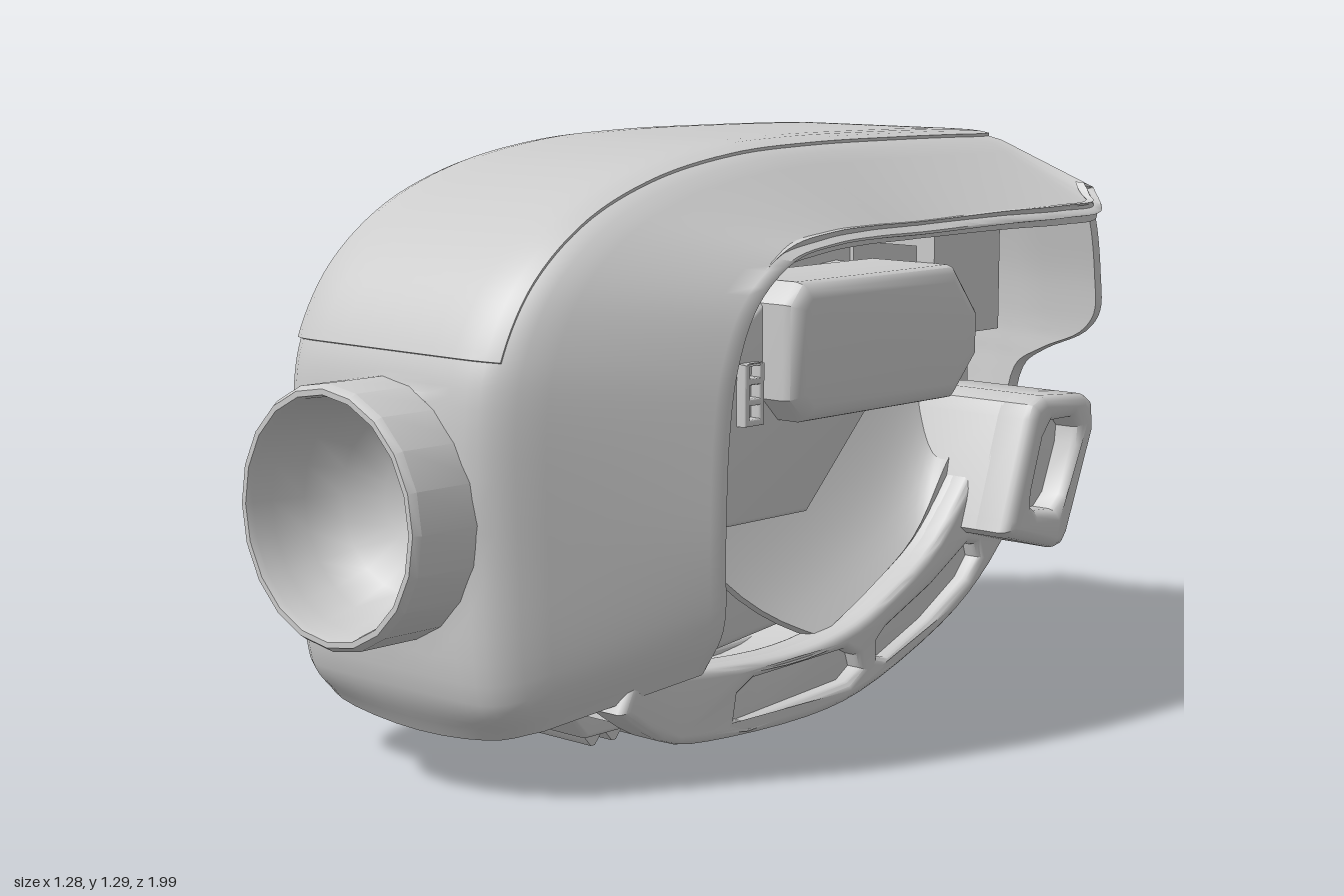
import * as THREE from 'three';
import { toCreasedNormals } from 'three/addons/utils/BufferGeometryUtils.js';

const grey = new THREE.MeshStandardMaterial({ color: 0xcccccc, side: THREE.DoubleSide });

// Thick curved sheet: point(i, j) over a grid, closed with an inner skin and rims.
function sheet(point, nu, nv, thick, lift = 0, skip = () => false) {
  const pts = [], idx = [], edges = new Set();
  for (let j = 0; j <= nv; j++) for (let i = 0; i <= nu; i++) pts.push(point(i, j));
  for (let j = 0; j < nv; j++) for (let i = 0; i < nu; i++) {
    const a = j * (nu + 1) + i, b = a + 1, d = a + nu + 1, c = d + 1;
    if ([a, b, c, d].every(k => skip(pts[k]))) continue;
    idx.push(a, b, c, a, c, d);
    [[a, b], [b, c], [c, d], [d, a]].forEach(e => edges.add(e.join()));
  }
  const g = new THREE.BufferGeometry().setFromPoints(pts);
  g.setIndex(idx);
  g.computeVertexNormals();
  const N = pts.length, n = new THREE.Vector3(), all = [], faces = [...idx];
  for (const off of [lift, lift - thick]) pts.forEach((p, k) => {
    n.fromBufferAttribute(g.attributes.normal, k);
    all.push(p.clone().addScaledVector(n, off));
  });
  for (let k = 0; k < idx.length; k += 3) faces.push(idx[k] + N, idx[k + 2] + N, idx[k + 1] + N);
  for (const e of edges) {
    const [a, b] = e.split(',').map(Number);
    if (!edges.has(b + ',' + a)) faces.push(b, a, a + N, b, a + N, b + N);
  }
  const out = new THREE.BufferGeometry().setFromPoints(all);
  out.setIndex(faces);
  return toCreasedNormals(out, 0.9);
}

// Side profile of [z, y] points extruded along x, centred on xc.
function slab(points, xc, width, bevel = 0.015, holes = []) {
  const v = l => l.map(p => new THREE.Vector2(...p));
  const s = new THREE.Shape(v(points));
  holes.forEach(h => s.holes.push(new THREE.Path(v(h))));
  const depth = width - 2 * bevel;
  const g = new THREE.ExtrudeGeometry(s, {
    depth, bevelEnabled: bevel > 0, bevelSize: bevel, bevelThickness: bevel,
    bevelOffset: -bevel, bevelSegments: 3,
  });
  g.translate(0, 0, -depth / 2).rotateY(-Math.PI / 2).translate(xc, 0, 0);
  return toCreasedNormals(g, 0.7);
}

// Smooth 2D curve through a few points
const spline = (points, n) => new THREE.SplineCurve(points.map(p => new THREE.Vector2(...p)))
  .getPoints(n).map(p => [p.x, p.y]);
const curve3 = points => new THREE.CatmullRomCurve3(points.map(p => new THREE.Vector3(...p)));

export function createModel() {
  const model = new THREE.Group();
  const add = (name, geo) => {
    const m = new THREE.Mesh(geo, grey);
    m.name = name;
    model.add(m);
    return m;
  };

  // Hood: centre line (z, y) paired with side edge (z, y, x), front bottom to rear top
  const rows = [
    [.76, .095, .43, .24, .5], [.82, .2, .415, .33, .54], [.845, .5, .425, .5, .555],
    [.85, .8, .415, .72, .555], [.825, .9, .39, .86, .555], [.745, 1.03, .33, .98, .555],
    [.6, 1.145, .22, 1.06, .555], [.4, 1.225, .08, 1.085, .555], [.15, 1.27, -.05, 1.09, .555],
    [-.1, 1.283, -.2, 1.09, .56], [-.4, 1.283, -.45, 1.1, .6], [-.62, 1.28, -.62, 1.105, .635],
    [-.72, 1.277, -.72, 1.115, .648], [-.75, 1.275, -.757, 1.16, .6],
  ];
  const last = rows.length - 1, steps = 6 * last;
  const centre = curve3(rows.map(r => [0, r[1], r[0]]));
  const edge = curve3(rows.map(r => [r[4], r[3], r[2]]));
  // Cross-section columns: x (or null along the slanted side), blend to the edge, inward curl
  const half = [[.07, 0], [.14, 0], [.2, 0], [.245, .006], [.275, .024], [.302, .06],
    ...[.13, .25, .4, .55, .7, .82, .92, .97].map(v => [null, v]), [null, 1, .008], [null, 1.01, .022], [null, 1.01, .045]];
  const cols = [...half.map(c => [...c, -1]).reverse(), [0, 0, 1], ...half.map(c => [...c, 1])]
    .map(c => ({ x: c[0], v: c[1], curl: c.length > 3 ? c[2] : 0, s: c.at(-1) }));
  const section = (t, { x, v, curl, s }) => {
    const e = edge.getPoint(t), p = centre.getPoint(t).lerp(e, v);
    p.x = s * (x ?? 0.3 + (e.x - 0.3) * v - curl);
    p.y += 0.035 * Math.max(0, 1 - t * last) * (1 - v) * Math.min(1, (p.x / 0.3) ** 2);
    return p;
  };
  const R = 0.26, muzzleY = 0.57;
  const inHole = p => p.z > 0.6 && Math.hypot(p.x, p.y - muzzleY) < R + 1e-4;
  add('hood', sheet((i, j) => {
    const p = section(j / steps, cols[i]);
    if (inHole(p)) { // gather vertices on the rim of the muzzle opening
      const a = Math.atan2(p.y - muzzleY, p.x);
      p.x = R * Math.cos(a);
      p.y = muzzleY + R * Math.sin(a);
    }
    return p;
  }, cols.length - 1, steps, 0.028, 0, inHole));

  // Slightly raised panel running up the front and over the top
  const flat = cols.filter(c => c.x !== null);
  add('topPanel', sheet((i, j) => section((3.9 + (last - 3.9) * j / 54) / last, flat[i]),
    flat.length - 1, 54, 0.02, 0.007));

  // Muzzle with a hollow bowl
  const profile = [[0, .74], [.1, .755], [.18, .8], [.22, .87], [.238, .94], [.243, .985], [.248, 1],
    [.26, 1], [.27, .985], [.27, .8]].map(p => new THREE.Vector2(...p));
  const muzzle = add('muzzle', toCreasedNormals(new THREE.LatheGeometry(profile, 20), 0.6));
  muzzle.rotation.x = Math.PI / 2;
  muzzle.position.y = muzzleY;

  // Inner body under the hood
  add('innerBody', slab([[.5, .2], [.5, .9], [.38, 1.05], [.2, 1.14], [-.5, 1.14], [-.75, 1.1], [-.76, .8],
    [-.72, .52], [-.5, .35], [-.25, .2], [.1, .16]], 0, 0.36));
  add('innerBlock', slab([[.34, .5], [.34, .82], [.15, .96], [-.35, 1], [-.35, .7], [-.2, .7], [0, .5]], 0, 0.8, 0.01));
  add('spinePlate', slab([[-.74, .55], [-.85, .55], [-.85, 1.11], [-.74, 1.11]], 0, 0.37));

  // Jaw profile, shared by both rails: inner arc, then outer arc
  const inner = [[.56, .25], [.4, .225], [.1, .205], [-.1, .225], [-.25, .28], [-.42, .38], [-.58, .56]];
  const jaw = [...spline(inner, 24),
    ...spline([[-.72, .4], [-.6, .28], [-.45, .185], [-.2, .09], [0, .057], [.28, .06], [.46, .085], [.6, .17]], 24)];
  const slots = [
    [[.26, .1], [.25, .15], [.2, .175], [-.1, .185], [-.14, .165], [-.15, .135], [-.11, .11], [.22, .085]],
    [[-.21, .15], [-.21, .185], [-.24, .21], [-.4, .28], [-.53, .355], [-.56, .35], [-.57, .32], [-.53, .275], [-.4, .2], [-.25, .14]],
  ];
  // Cheek lines: from the rail's inner edge up to the block
  const cheekLow = curve3([[.36, .2, -.08], [.36, .28, -.25], [.36, .38, -.42], [.36, .54, -.57]]);
  const cheekHigh = curve3([[.17, .5, .23], [.17, .62, -.1], [.17, .72, -.42], [.17, .76, -.7]]);

  for (const s of [-1, 1]) {
    const side = s > 0 ? 'left' : 'right';
    // Side pod and vent
    add(side + 'Pod', slab([[.15, .76], [.15, .96], [.11, 1.005], [-.4, 1.005], [-.485, .9], [-.485, .8], [-.4, .71], [.1, .71]],
      s * 0.35, 0.28, 0.035));
    const vent = [0, 1, 2].map(k => {
      const y = 0.725 + 0.043 * k;
      return [[.185, y], [.215, y], [.215, y + .028], [.185, y + .028]];
    });
    add(side + 'Vent', slab([[.17, .71], [.23, .71], [.23, .84], [.17, .84]], s * 0.405, 0.04, 0.004, vent));

    // Rear socket, open to the back
    const xy = l => l.map(([x, y]) => new THREE.Vector2(s * x, y));
    const frame = new THREE.Shape(xy([[.14, .84], [.42, .84], [.42, 1.09], [.14, 1.09]]));
    frame.holes.push(new THREE.Path(xy([[.19, .89], [.37, .89], [.37, 1.04], [.19, 1.04]])));
    add(side + 'Socket', new THREE.ExtrudeGeometry(frame, { depth: 0.24, bevelEnabled: false }).translate(0, 0, -0.64));

    // Slotted jaw rail with its backing
    add(side + 'JawRail', slab(jaw, s * 0.395, 0.07, 0.018, slots));
    add(side + 'JawRailBack', slab(jaw, s * 0.36, 0.06, 0.01));

    // Cheek rising from the rail towards the block
    add(side + 'Cheek', sheet((i, j) => {
      const p = cheekLow.getPoint(j / 14).lerp(cheekHigh.getPoint(j / 14), i / 8);
      p.y -= 0.05 * Math.sin(Math.PI * i / 8);
      p.x *= s;
      return p;
    }, 8, 14, 0.02));

    // Rear bracket with a recessed window
    const bracket = [[-.5, .4], [-.51, .43], [-.585, .65], [-.6, .68], [-.64, .697], [-.8, .685], [-.83, .665],
      [-.835, .6], [-.74, .37], [-.72, .345], [-.69, .34], [-.52, .385]];
    add(side + 'Bracket', slab(bracket, s * 0.5, 0.12, 0.025,
      [[[-.6, .45], [-.6, .48], [-.64, .6], [-.67, .635], [-.75, .635], [-.775, .61], [-.77, .57], [-.725, .46], [-.69, .43], [-.62, .435]]]));
    add(side + 'BracketBase', slab(bracket, s * 0.34, 0.3, 0.02));
  }

  // Bowl-shaped jaw floor between the rails
  const floor = curve3([[0, .19, .56], [0, .14, .25], [0, .14, -.1], [0, .28, -.42], [0, .48, -.62]]);
  add('jawFloor', sheet((i, j) => {
    const p = floor.getPoint(j / 20);
    p.x = -0.35 + 0.7 * i / 12;
    p.y += 0.06 * (p.x / 0.35) ** 2;
    return p;
  }, 12, 20, 0.03));

  // Cross ribs under the jaw
  for (let k = 0; k < 6; k++) {
    const t = 0.09 + k * 0.15, p = floor.getPoint(t), d = floor.getTangent(t);
    const rib = add('jawRib', new THREE.BoxGeometry(0.7, 0.07, 0.07));
    rib.position.set(0, p.y - 0.03, p.z);
    rib.rotation.x = Math.atan2(d.y, -d.z);
  }

  // Keel and its row of teeth
  add('keel', slab([[.47, .12], [.39, .025], [-.38, .025], [-.505, .14], [-.505, .25], [-.2, .16], [.3, .15]], 0, 0.24, 0.01));
  const teeth = [[.39, .05]];
  for (let k = 0; k < 12; k++) {
    const z = 0.385 - k * 0.064;
    teeth.push([z, .03], [z - 0.026, 0], [z - 0.038, 0]);
  }
  teeth.push([-.385, .03], [-.385, .05]);
  add('teeth', slab(teeth, 0, 0.2, 0));

  // Hinge pin carrying the rear plate
  const pin = add('hingePin', new THREE.CylinderGeometry(0.045, 0.045, 0.36, 10));
  pin.rotation.z = Math.PI / 2;
  pin.position.set(0, 0.295, -0.72);

  // Curved rear plate: y, z and half width from top to bottom
  const plate = curve3([[1.175, -.94, .44], [1.15, -.945, .49], [1.08, -.96, .505], [.95, -.985, .505], [.86, -.993, .5],
    [.81, -.994, .46], [.76, -.99, .35], [.71, -.985, .28], [.55, -.96, .25], [.36, -.88, .25], [.22, -.77, .2]]);
  add('rearPlate', sheet((i, j) => {
    const q = plate.getPoint(j / 50), x = (i / 28 * 2 - 1) * q.z;
    return new THREE.Vector3(x, q.x, q.y + 0.065 * THREE.MathUtils.smoothstep(Math.abs(x), 0.13, 0.34));
  }, 28, 50, 0.025));

  return model;
}
